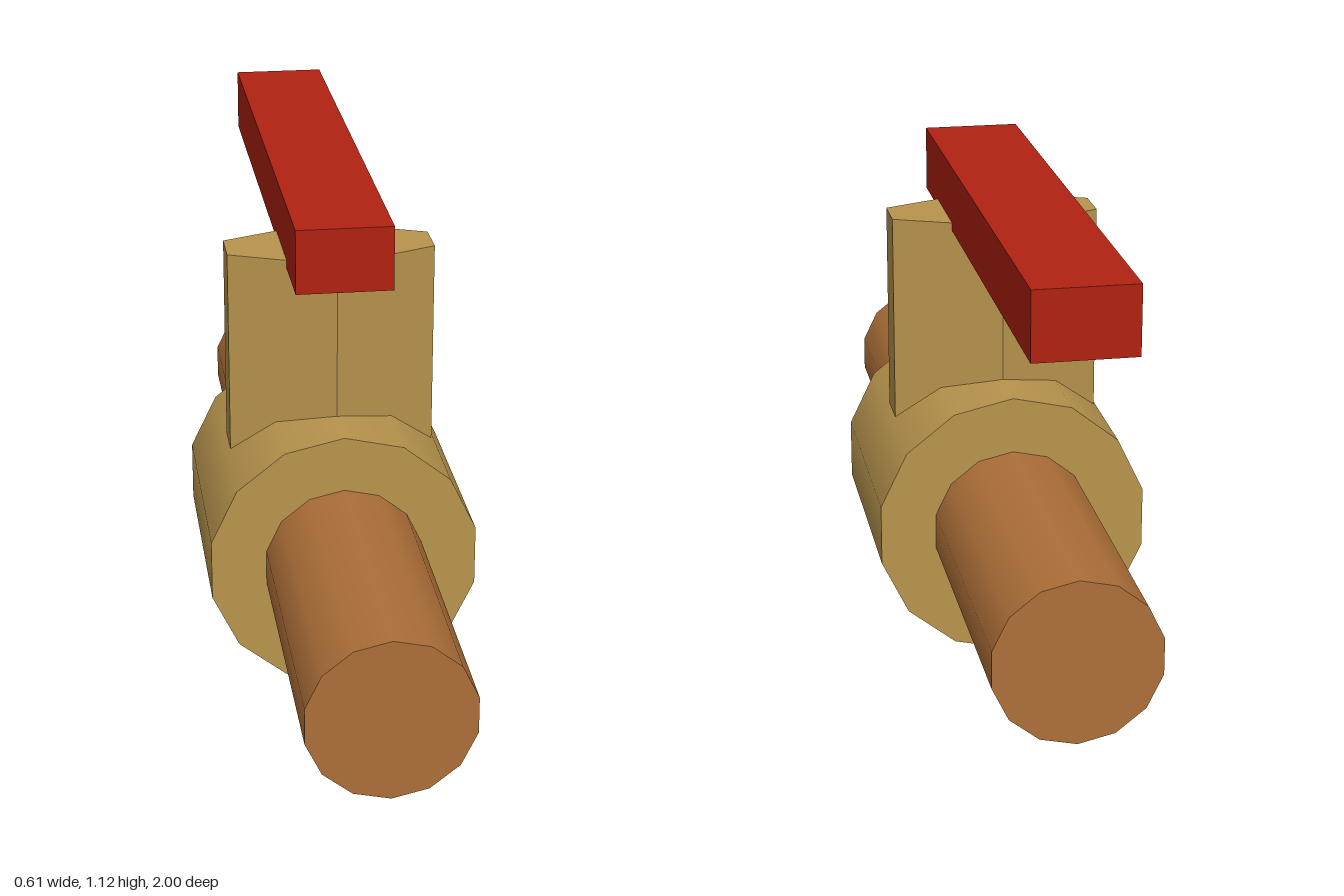
import * as THREE from 'three';

export function createModel() {
  const group = new THREE.Group();
  group.name = 'ballValve';

  const material = (name, color) => {
    const m = new THREE.MeshStandardMaterial({ color });
    m.name = name;
    return m;
  };
  const brass = material('brass', 0xb8944d);
  const copper = material('copper', 0xad6f38);
  const red = material('red', 0xb12211);

  const add = (name, geometry, mat) => {
    const mesh = new THREE.Mesh(geometry, mat);
    mesh.name = name;
    group.add(mesh);
  };

  // Fourteen-sided bar along z, with a corner at the top
  const axisY = 0.317;
  const bar = (radius, zBack, zFront) =>
    new THREE.CylinderGeometry(radius, radius, zFront - zBack, 14)
      .rotateX(Math.PI / 2)
      .translate(0, axisY, (zBack + zFront) / 2);

  add('pipe', bar(0.184, -0.97, 1), copper);
  add('valveBody', bar(0.313, -0.26, 0.29), brass);

  // Flattened six-sided stem rising out of the body
  const outline = [
    [0, -0.165], [0.238, -0.065], [0.238, 0.033],
    [0, 0.131], [-0.238, 0.033], [-0.238, -0.065],
  ].map(([x, y]) => new THREE.Vector2(x, y));
  const stemBottom = 0.35, stemTop = 0.998;
  const stem = new THREE.ExtrudeGeometry(new THREE.Shape(outline), {
    depth: stemTop - stemBottom, bevelEnabled: false,
  }).rotateX(-Math.PI / 2).translate(0, stemBottom, 0);
  add('stem', stem, brass);

  // Lever handle reaching to the back
  add('handle', new THREE.BoxGeometry(0.218, 0.148, 1.29).translate(0, 1.053, -0.355), red);

  return group;
}
